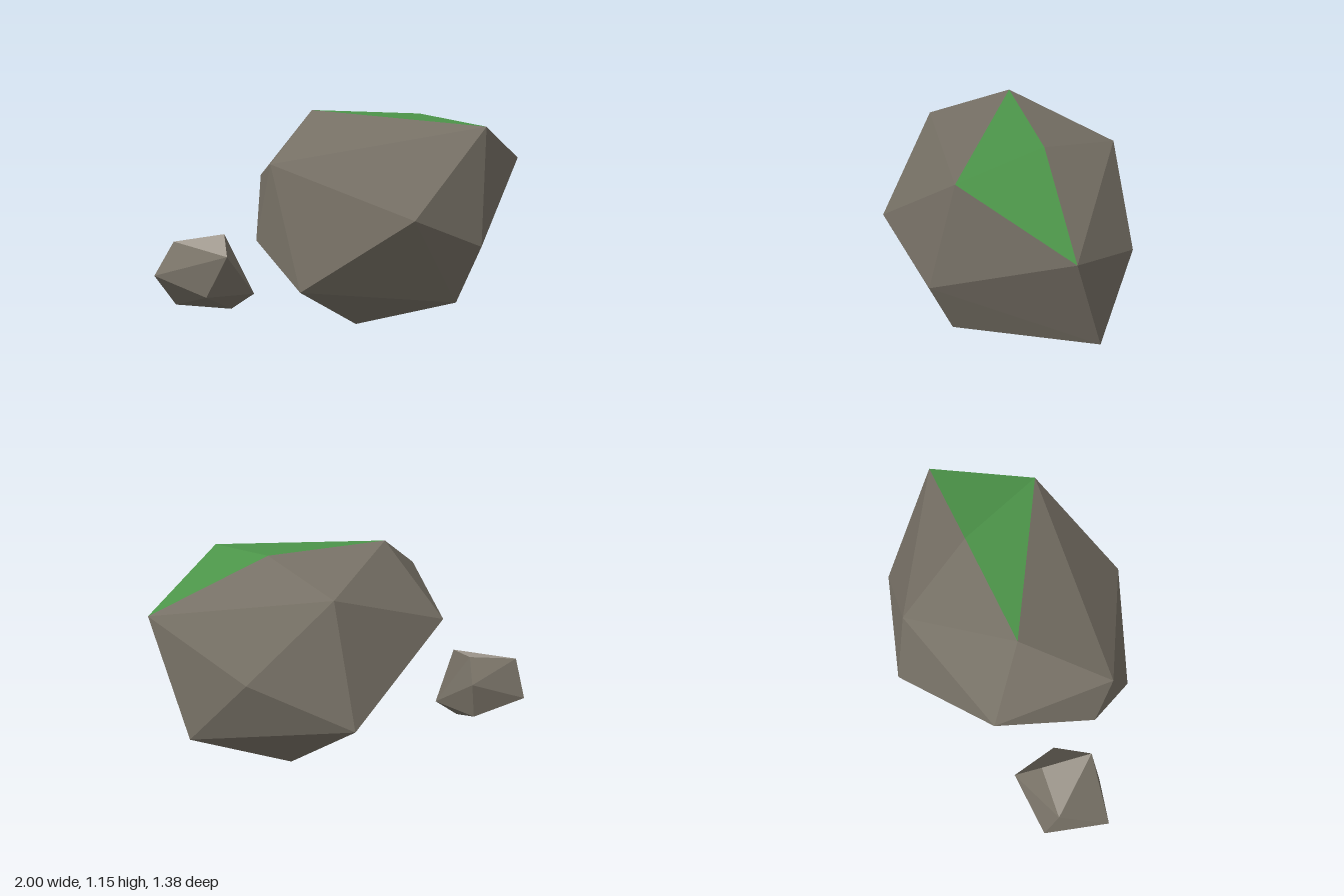
import * as THREE from 'three';
import { ConvexGeometry } from 'three/addons/geometries/ConvexGeometry.js';

const flat = (name, color) => {
  const m = new THREE.MeshStandardMaterial({ color, flatShading: true });
  m.name = name;
  return m;
};

// Faceted stone: convex hull of corner points; hull faces whose corners
// all lie in the patch list get their own mesh and colour.
function stone(name, corners, rock, patchName, patch, patchMaterial) {
  const points = corners.map((c) => new THREE.Vector3(...c));
  const hull = new ConvexGeometry(points).getAttribute('position');
  const sides = { body: [], patch: [] };
  const v = new THREE.Vector3();
  for (let i = 0; i < hull.count; i += 3) {
    const tri = [];
    let inPatch = true;
    for (let j = i; j < i + 3; j++) {
      v.fromBufferAttribute(hull, j);
      tri.push(v.x, v.y, v.z);
      inPatch = inPatch && patch.some((k) => points[k].distanceTo(v) < 1e-4);
    }
    sides[inPatch ? 'patch' : 'body'].push(...tri);
  }
  const group = new THREE.Group();
  group.name = name;
  const add = (label, data, material) => {
    const g = new THREE.BufferGeometry();
    g.setAttribute('position', new THREE.Float32BufferAttribute(data, 3));
    g.computeVertexNormals();
    const mesh = new THREE.Mesh(g, material);
    mesh.name = label;
    group.add(mesh);
  };
  add(name + 'Body', sides.body, rock);
  add(patchName, sides.patch, patchMaterial);
  return group;
}

export function createModel() {
  const rock = flat('stone grey', 0x767065);
  const moss = flat('moss green', 0x4c9449);
  const pale = flat('pale stone', 0xa39c91);
  const model = new THREE.Group();
  model.name = 'rocks';

  // Large boulder with a mossy top (the first four corners)
  model.add(stone('boulder', [
    [-0.13, 1.155, -0.18], [0.45, 1.12, 0.08], [0.42, 1.085, 0.60], [1.0, 0.845, 0.365],
    [-0.58, 0.92, 0.04], [-0.16, 0.665, 0.65], [0.30, 0.47, 0.69], [-0.58, 0.30, 0.27],
    [0.28, 0.135, 0.54], [0.95, 0.23, 0.12], [-0.10, 0, 0.15], [0.50, 0.05, -0.14],
    [0.44, 0.99, -0.42], [0.82, 0.59, -0.21], [0.44, 0.355, -0.575], [-0.25, 0.77, -0.505],
    [-0.595, 0.51, -0.075],
  ], rock, 'mossPatch', [0, 1, 2, 3], moss));

  // Small stone behind it, with one pale facet on top (the first three corners)
  model.add(stone('smallStone', [
    [-0.78, 0.44, -0.60], [-0.69, 0.41, -0.21], [-0.54, 0.47, -0.46],
    [-1.0, 0.32, -0.43], [-0.76, 0.23, -0.69], [-0.44, 0.36, -0.57], [-0.48, 0.155, -0.27],
    [-0.48, 0.155, -0.56], [-0.58, 0.07, -0.35], [-0.85, 0.12, -0.48], [-0.80, 0.20, -0.25],
  ], rock, 'paleFacet', [0, 1, 2], pale));

  return model;
}
